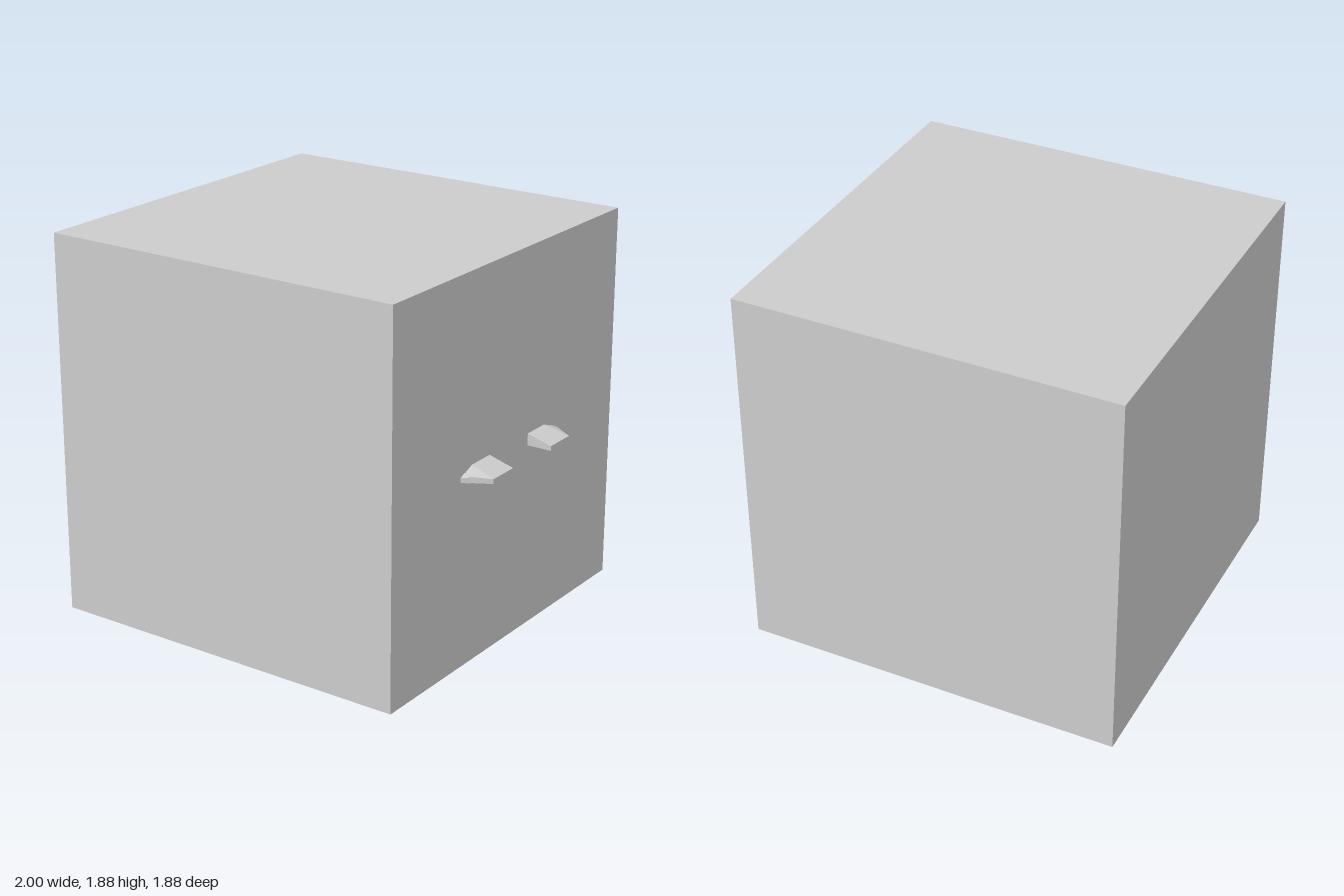
import * as THREE from 'three';
import { ConvexGeometry } from 'three/addons/geometries/ConvexGeometry.js';

const WALL = 0.875; // x of the cube face that carries the ledges
const BASE = 0.917; // underside of the ledges

export function createModel() {
  const model = new THREE.Group();
  const material = new THREE.MeshStandardMaterial({ color: 0xcccccc, flatShading: true });

  const add = (name, geometry, parent) => {
    const mesh = new THREE.Mesh(geometry, material);
    mesh.name = name;
    parent.add(mesh);
    return mesh;
  };

  // Large plain cube
  add('cube', new THREE.BoxGeometry(1.875, 1.88, 1.88), model).position.set(-0.0625, 0.94, 0);

  // Faceted solid from [x, top y, z] corners above a flat base, mirrored by side
  const wedge = (corners, side) => new ConvexGeometry(corners.flatMap(([x, y, z]) => [
    new THREE.Vector3(x, y, z * side),
    new THREE.Vector3(x, BASE, z * side),
  ]));

  // Sloping ledge: high at the wall, low at its outer edge
  const ledge = [
    [WALL, 0.975, 0.165], [WALL, 0.975, 0.31], [WALL, 0.953, 0.367],
    [0.915, 0.946, 0.376], [1, 0.94, 0.33], [1, 0.94, 0.165],
  ];
  // Small pointed tip at the outer end
  const tip = [[WALL, 0.955, 0.37], [0.915, 0.945, 0.38], [WALL, 0.94, 0.405]];

  for (const [name, side] of [['frontLedge', 1], ['backLedge', -1]]) {
    const group = new THREE.Group();
    group.name = name;
    add('slopedLedge', wedge(ledge, side), group);
    add('pointedTip', wedge(tip, side), group);
    model.add(group);
  }
  return model;
}
